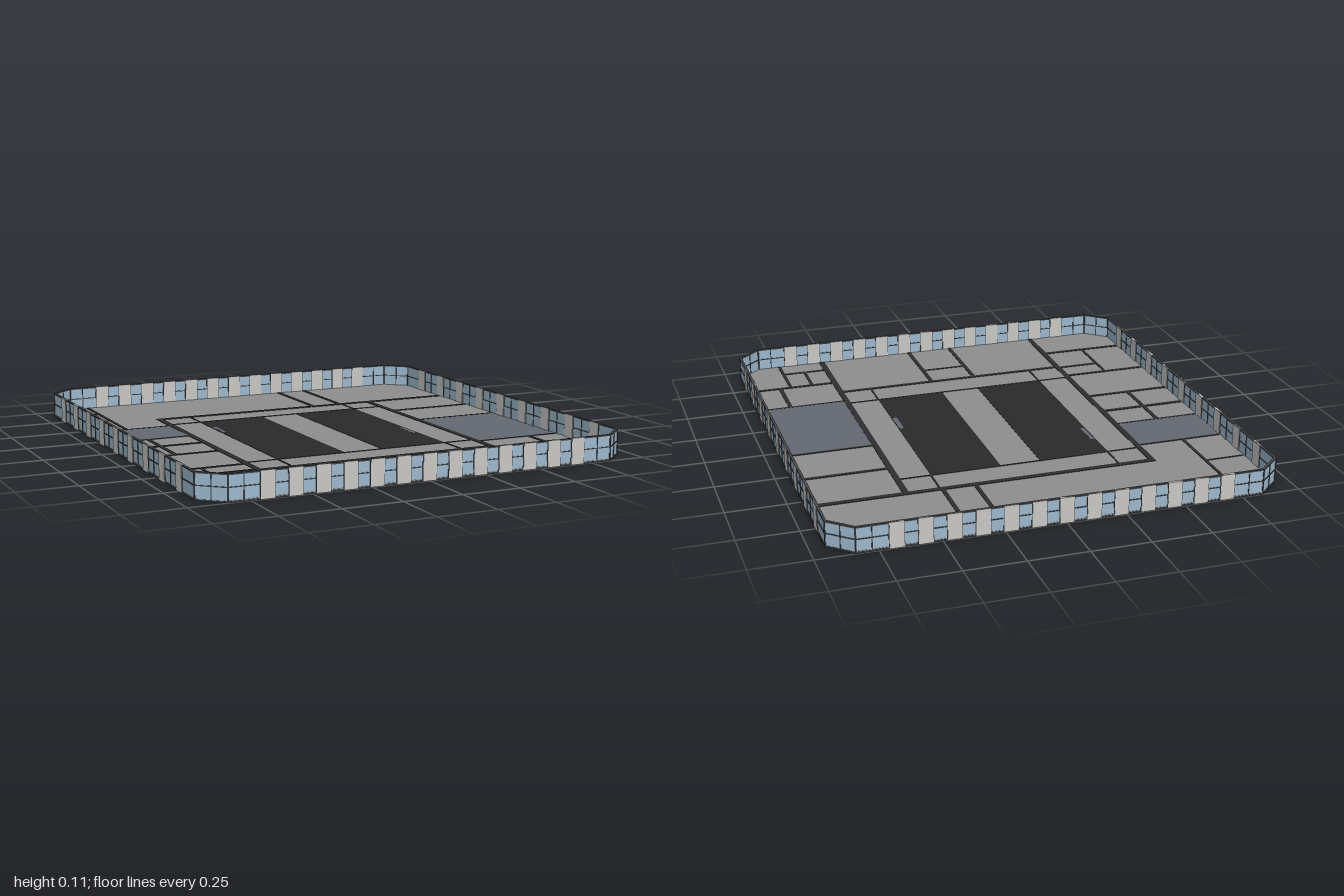
import * as THREE from 'three';

const HX = 0.94, HZ = 1, CX = 0.84, CZ = 0.91; // half sizes and where the cut corners begin
const HEIGHT = 0.11;

export function createModel() {
  const model = new THREE.Group();
  model.name = 'buildingStorey';

  const makeMat = (name, color) => {
    const m = new THREE.MeshStandardMaterial({ color });
    m.name = name;
    return m;
  };
  const floorGrey = makeMat('floorGrey', 0x8e8e8e);
  const partitionDark = makeMat('partitionDark', 0x2e2e2e);
  const shaftBlack = makeMat('shaftBlack', 0x2a2a2a);
  const roomBlue = makeMat('roomBlue', 0x646871);
  const panelLight = makeMat('panelLight', 0xc8c7c4);
  const glassBlue = makeMat('glassBlue', 0x9cb8cc);
  const frameDark = makeMat('frameDark', 0x444648);

  const box = (parent, name, mat, w, h, d, x, y, z) => {
    const mesh = new THREE.Mesh(new THREE.BoxGeometry(w, h, d), mat);
    mesh.position.set(x, y, z);
    mesh.name = name;
    parent.add(mesh);
  };

  // Floor plate: rectangle with cut corners
  const outline = [[CX, HZ], [HX, CZ], [HX, -CZ], [CX, -HZ], [-CX, -HZ], [-HX, -CZ], [-HX, CZ], [-CX, HZ]];
  const shape = new THREE.Shape(outline.map(([x, z]) => new THREE.Vector2(x * 0.997, -z * 0.997)));
  const slab = new THREE.ExtrudeGeometry(shape, { depth: 0.008, bevelEnabled: false });
  slab.rotateX(-Math.PI / 2);
  const floor = new THREE.Mesh(slab, floorGrey);
  floor.position.y = 0.002;
  floor.name = 'floor';
  model.add(floor);

  // Floor areas, visible from above and below: x0, x1, z0, z1
  const area = (name, mat, x0, x1, z0, z1, h = 0.0105) =>
    box(model, name, mat, x1 - x0, h, z1 - z0, (x0 + x1) / 2, 0.006, (z0 + z1) / 2);
  area('leftShaft', shaftBlack, -0.396, -0.09, -0.432, 0.436);
  area('rightShaft', shaftBlack, 0.083, 0.386, -0.432, 0.436);
  area('shaftDoor', roomBlue, -0.39, -0.373, -0.293, -0.165, 0.0115);
  area('shaftDoor', roomBlue, 0.362, 0.383, 0.074, 0.202, 0.0115);
  area('leftBlueRoom', roomBlue, -0.925, -0.55, -0.41, -0.165);
  area('rightBlueRoom', roomBlue, 0.54, 0.925, -0.064, 0.468);

  // Partitions running across (z, x0, x1, thickness)
  const L = -0.925, R = 0.925, LC = -0.54, RC = 0.53;
  const across = [
    [-0.572, -0.553, R, 0.026], [0.58, LC, RC, 0.02],
    [-0.433, LC, RC, 0.008], [0.436, LC, RC, 0.008],
    [-0.811, L, -0.753, 0.014], [-0.644, L, -0.753, 0.009],
    [-0.41, L, LC, 0.01], [-0.165, L, LC, 0.01],
    [-0.008, L, LC, 0.02], [0.178, L, LC, 0.018],
    [0.457, L, LC, 0.018], [0.569, -0.738, LC, 0.016], [0.771, L, LC, 0.02],
    [-0.314, RC, R, 0.018], [-0.064, RC, R, 0.012], [0.468, RC, R, 0.01],
    [0.707, RC, R, 0.018], [0.883, RC, 0.737, 0.014], [0.731, -0.117, 0.09, 0.012],
  ];
  for (const [z, x0, x1, t] of across) area('partition', partitionDark, x0, x1, z - t / 2, z + t / 2, 0.012);

  // Partitions running front to back (x, z0, z1, thickness)
  const along = [
    [LC, -0.585, 0.988, 0.026], [0.529, -0.585, 0.988, 0.026],
    [-0.394, -0.572, -0.433, 0.008], [-0.394, 0.436, 0.58, 0.008],
    [0.386, -0.572, -0.433, 0.008], [0.386, 0.436, 0.58, 0.008],
    [-0.753, -0.988, -0.41, 0.014], [-0.739, -0.165, 0.178, 0.018], [-0.738, 0.457, 0.771, 0.013],
    [0.239, -0.988, -0.572, 0.018], [0.378, -0.988, -0.572, 0.018],
    [0.787, 0.468, 0.707, 0.018], [0.636, 0.707, 0.883, 0.014], [0.737, 0.707, 0.988, 0.014],
    [-0.117, 0.58, 0.988, 0.018], [0.09, 0.58, 0.988, 0.018],
  ];
  for (const [x, z0, z1, t] of along) area('partition', partitionDark, x - t / 2, x + t / 2, z0, z1, 0.012);

  // One straight facade run: glass, rails, upright bars and solid panels, outer face at local z = 0
  const facade = (name, length, panels, spacing, panelWidth, bars, x, z, angle) => {
    const g = new THREE.Group();
    g.name = name;
    g.position.set(x, 0, z);
    g.rotation.y = angle;
    model.add(g);
    box(g, 'glass', glassBlue, length, HEIGHT - 0.004, 0.006, 0, HEIGHT / 2, -0.0065);
    for (const [y, h] of [[0.003, 0.006], [0.058, 0.004], [HEIGHT - 0.003, 0.006]])
      box(g, 'rail', frameDark, length, h, 0.011, 0, y, -0.0065);
    for (const b of bars) box(g, 'upright', frameDark, 0.004, HEIGHT, 0.0105, b, HEIGHT / 2, -0.0065);
    for (let i = 0; i < panels; i++) {
      const px = (i - (panels - 1) / 2) * spacing;
      box(g, 'panel', panelLight, panelWidth, HEIGHT, 0.013, px, HEIGHT / 2, -0.0065);
      for (const s of [-1, 1])
        box(g, 'upright', frameDark, 0.003, HEIGHT, 0.0105, px + s * (panelWidth / 2 + 0.001), HEIGHT / 2, -0.0065);
    }
  };

  const sideBars = [-CZ + 0.002, CZ - 0.002];
  for (let i = 0; i < 8; i++) sideBars.push((i - 3.5) * 0.188);
  const frontBars = [-CX + 0.002, -0.776, 0.776, CX - 0.002];
  for (const s of [1, -1]) {
    const turn = s > 0 ? 0 : Math.PI;
    facade(s > 0 ? 'frontFacade' : 'backFacade', 2 * CX, 13, 0.1134, 0.058, frontBars, 0, s * HZ, turn);
    facade(s > 0 ? 'leftFacade' : 'rightFacade', 2 * CZ, 9, 0.188, 0.061, sideBars, s * HX, 0, s * Math.PI / 2);
    // Glazed cut corners
    const dx = HX - CX, dz = HZ - CZ, len = Math.hypot(dx, dz);
    for (const t of [1, -1])
      facade('cornerFacade', len, 0, 0, 0, [-len / 2 + 0.003, 0, len / 2 - 0.003],
        s * (HX + CX) / 2, t * (HZ + CZ) / 2, Math.atan2(s * dz, t * dx));
  }
  return model;
}
